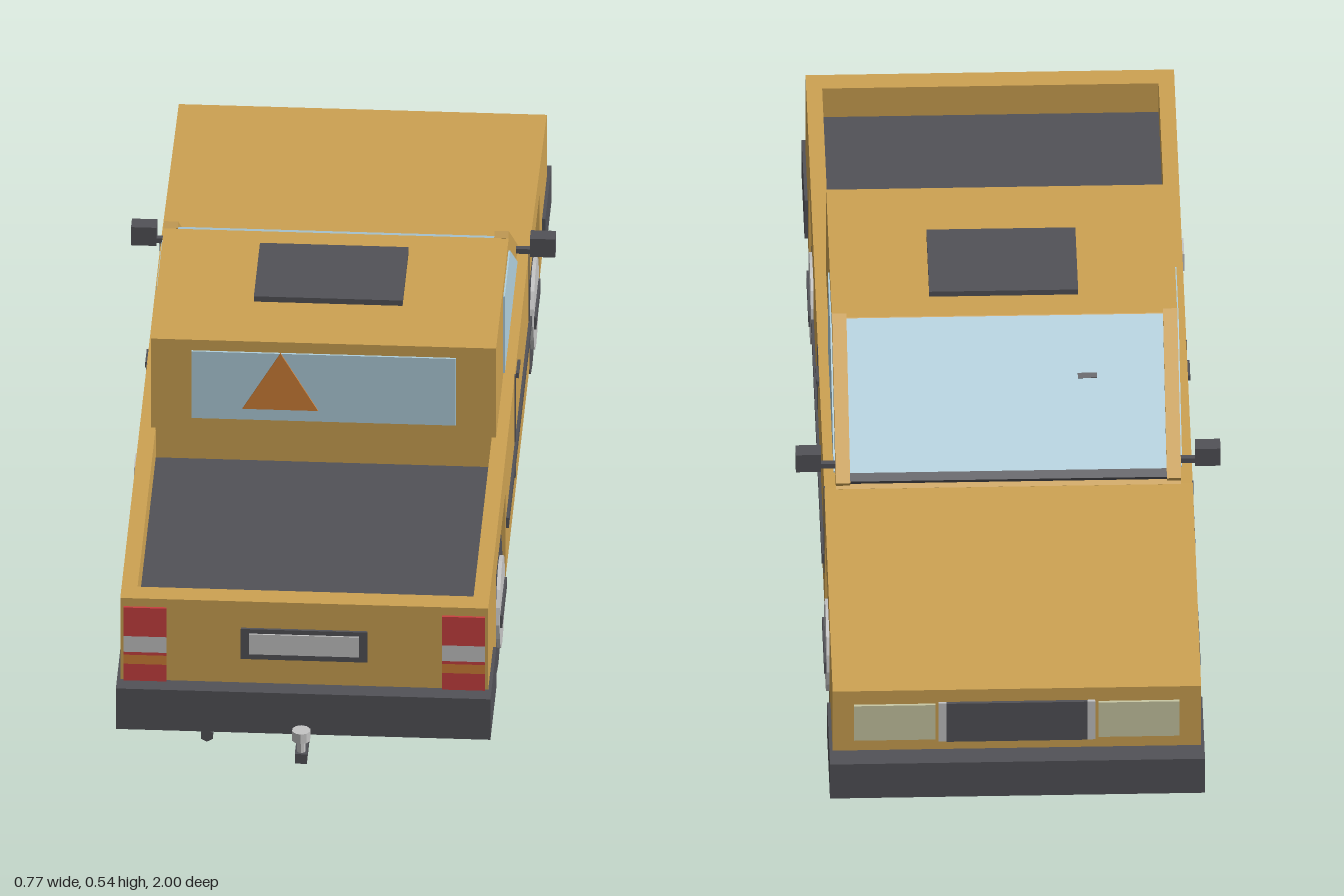
import * as THREE from 'three';

const paint = (name, color) => {
  const m = new THREE.MeshStandardMaterial({ color });
  m.name = name;
  return m;
};

export function createModel() {
  const truck = new THREE.Group();
  truck.name = 'pickupTruck';
  const ochre = paint('ochre body', 0xcda252);
  const dark = paint('dark trim', 0x525257);
  const glass = paint('pale blue glass', 0xb0cfdc);
  const silver = paint('light grey', 0xc4c4c4);
  const red = paint('red lamp', 0xc94040);
  const orange = paint('orange sign', 0xd08038);
  const lamp = paint('pale headlight', 0xc9c8a4);

  const add = (name, geometry, material) => {
    const mesh = new THREE.Mesh(geometry, material);
    mesh.name = name;
    truck.add(mesh);
    return mesh;
  };
  // Box given by its limits on each axis
  const box = (name, mat, x0, x1, y0, y1, z0, z1) =>
    add(name, new THREE.BoxGeometry(x1 - x0, y1 - y0, z1 - z0), mat)
      .position.set((x0 + x1) / 2, (y0 + y1) / 2, (z0 + z1) / 2);
  // The same box on both sides of the truck
  const pair = (name, mat, x0, x1, ...rest) => {
    box(name + 'Left', mat, x0, x1, ...rest);
    box(name + 'Right', mat, -x1, -x0, ...rest);
  };
  // Side outline of [z, y] points, extruded across from x0 to x1
  const outline = (name, mat, points, x0, x1) => {
    const shape = new THREE.Shape(points.map(([z, y]) => new THREE.Vector2(z, y)));
    const g = new THREE.ExtrudeGeometry(shape, { depth: x1 - x0, bevelEnabled: false });
    g.rotateY(-Math.PI / 2).translate(x1, 0, 0);
    return add(name, g, mat);
  };
  const cylinder = (name, mat, r, length, sides, axis, x, y, z) => {
    const g = new THREE.CylinderGeometry(r, r, length, sides).toNonIndexed();
    if (axis === 'x') g.rotateZ(Math.PI / 2);
    if (axis === 'z') g.rotateX(Math.PI / 2);
    g.computeVertexNormals();
    add(name, g, mat).position.set(x, y, z);
  };

  // Lower body with wheel notches, a sloping bonnet and a sunken bed
  outline('body', ochre, [
    [0.887, 0.09], [0.887, 0.345], [0.845, 0.345], [0.845, 0.276], [0.272, 0.276], [0.272, 0.345],
    [-0.39, 0.345], [-0.957, 0.302], [-0.957, 0.09],
    [-0.73, 0.09], [-0.73, 0.27], [-0.42, 0.27], [-0.42, 0.09],
    [0.34, 0.09], [0.34, 0.27], [0.65, 0.27], [0.65, 0.09],
  ], -0.334, 0.334);
  pair('bedWall', ochre, 0.305, 0.334, 0.274, 0.345, 0.272, 0.845);
  box('bedFloor', dark, -0.305, 0.305, 0.275, 0.281, 0.272, 0.845);

  // Cab with glass
  outline('cab', ochre, [[0.275, 0.34], [0.275, 0.532], [-0.12, 0.532], [-0.392, 0.345], [-0.392, 0.34]], -0.313, 0.313);
  // Layer lying on the windscreen slope; a and b run from roof to bonnet
  const slope = (name, mat, a, b, lift, x0, x1) => {
    const at = (t, h) => [-0.12 - 0.272 * t - 0.567 * h, 0.532 - 0.187 * t + 0.824 * h];
    outline(name, mat, [at(a, 0), at(a, lift), at(b, lift), at(b, 0)], x0, x1);
  };
  slope('windscreen', glass, 0.01, 0.96, 0.004, -0.287, 0.287);
  slope('windscreenWiper', dark, 0.92, 0.97, 0.012, -0.29, 0.29);
  slope('screenMirror', dark, 0.35, 0.38, 0.006, -0.165, -0.13);
  for (const s of [-1, 1]) {
    slope('windscreenPillar', ochre, -0.01, 0.98, 0.013, s * 0.3 - 0.013, s * 0.3 + 0.013);
    outline('sideWindow', glass, [[0.05, 0.349], [0.05, 0.51], [-0.115, 0.51], [-0.345, 0.352], [-0.345, 0.349]],
      s * 0.314 - 0.002, s * 0.314 + 0.002);
  }
  box('rearWindow', glass, -0.24, 0.24, 0.37, 0.51, 0.274, 0.279);
  box('roofHatch', dark, -0.135, 0.135, 0.531, 0.543, -0.06, 0.132);

  // Warning triangle on the rear window
  const sign = new THREE.Shape([[-0.147, 0.394], [-0.01, 0.394], [-0.078, 0.512]].map(p => new THREE.Vector2(...p)));
  add('warningTriangle', new THREE.ExtrudeGeometry(sign, { depth: 0.004, bevelEnabled: false }), orange).position.z = 0.278;

  // Door details
  pair('sideMoulding', dark, 0.333, 0.339, 0.185, 0.206, -0.4, 0.325);
  pair('doorHandle', dark, 0.333, 0.339, 0.317, 0.328, -0.035, 0.013);
  pair('doorSeamRear', dark, 0.333, 0.3355, 0.13, 0.345, 0.046, 0.052);
  pair('doorSeamFront', dark, 0.333, 0.3355, 0.155, 0.345, -0.388, -0.382);
  pair('wingMirror', dark, 0.339, 0.385, 0.367, 0.405, -0.368, -0.337);
  pair('mirrorArm', dark, 0.305, 0.345, 0.367, 0.377, -0.358, -0.347);
  box('fuelFlap', silver, -0.338, -0.333, 0.29, 0.328, 0.34, 0.39);

  // Bumpers wrapping round the corners
  box('rearBumper', dark, -0.34, 0.34, 0.09, 0.175, 0.886, 0.922);
  pair('rearBumperSide', dark, 0.332, 0.34, 0.09, 0.175, 0.735, 0.888);
  box('frontBumper', dark, -0.34, 0.34, 0.094, 0.17, -1, -0.956);
  pair('frontBumperSide', dark, 0.332, 0.34, 0.094, 0.17, -0.958, -0.808);

  // Tail lamps in stacked bands, and the number plate
  const bands = [[0.175, 0.21, red], [0.21, 0.229, orange], [0.229, 0.235, red], [0.235, 0.268, silver], [0.268, 0.328, red]];
  for (const [y0, y1, mat] of bands) pair('tailLamp', mat, 0.25, 0.328, y0, y1, 0.885, 0.892);
  box('plateFrame', dark, -0.115, 0.115, 0.227, 0.29, 0.885, 0.892);
  box('numberPlate', silver, -0.1, 0.1, 0.239, 0.281, 0.891, 0.895);

  // Nose
  box('grille', dark, -0.128, 0.128, 0.19, 0.275, -0.963, -0.955);
  pair('grilleEdge', silver, 0.128, 0.142, 0.19, 0.275, -0.962, -0.955);
  pair('headlight', lamp, 0.148, 0.295, 0.195, 0.272, -0.962, -0.955);

  // Wheels and the dark blocks between them
  for (const z of [0.495, -0.575]) {
    box('wheelWell', dark, -0.237, 0.237, 0.0905, 0.2705, z - 0.155, z + 0.155);
    for (const s of [-1, 1]) {
      cylinder('tyre', dark, 0.127, 0.085, 16, 'x', s * 0.2875, 0.127, z);
      cylinder('hub', silver, 0.085, 0.1, 16, 'x', s * 0.287, 0.13, z);
    }
    pair('hubBar', dark, 0.335, 0.341, 0.116, 0.141, z - 0.07, z + 0.07);
  }

  // Tow bar and exhaust
  box('towBar', dark, -0.011, 0.011, 0.071, 0.091, 0.85, 0.995);
  cylinder('towPost', silver, 0.008, 0.03, 8, 'y', 0, 0.103, 0.983);
  cylinder('towBall', silver, 0.017, 0.02, 10, 'y', 0, 0.125, 0.983);
  cylinder('exhaust', dark, 0.0125, 0.11, 6, 'z', -0.175, 0.08, 0.865);

  return truck;
}
